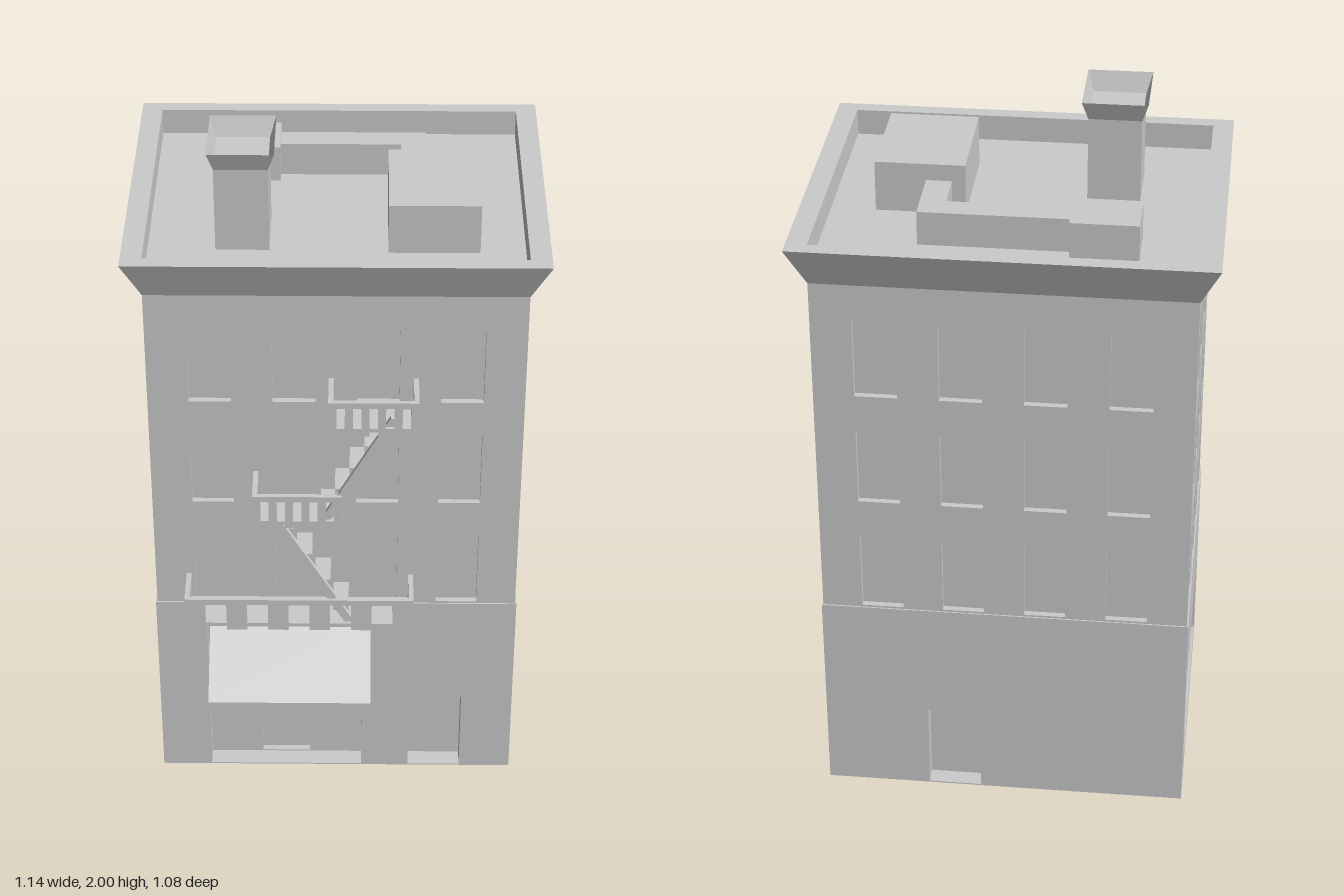
import * as THREE from 'three';

const MAT = new THREE.MeshStandardMaterial({ color: 0xcccccc, side: THREE.DoubleSide, flatShading: true });
const CZ = -0.08; // centre of the building in z

function mesh(geo, name, parent) {
  const m = new THREE.Mesh(geo, MAT);
  m.name = name;
  parent.add(m);
  return m;
}

// box given by its limits
function box(name, parent, x0, x1, y0, y1, z0, z1) {
  const m = mesh(new THREE.BoxGeometry(x1 - x0, y1 - y0, z1 - z0), name, parent);
  m.position.set((x0 + x1) / 2, (y0 + y1) / 2, (z0 + z1) / 2);
  return m;
}

// surface through rectangles [halfWidth, halfDepth, y], closed by a cap on the last one
function loft(rects) {
  const pos = [];
  const ring = ([w, d, y]) => [[-w, y, d], [w, y, d], [w, y, -d], [-w, y, -d]];
  const quad = (a, b, c, d) => pos.push(...a, ...b, ...c, ...a, ...c, ...d);
  for (let i = 0; i < rects.length - 1; i++) {
    const lo = ring(rects[i]), hi = ring(rects[i + 1]);
    for (let k = 0; k < 4; k++) quad(lo[k], lo[(k + 1) % 4], hi[(k + 1) % 4], hi[k]);
  }
  quad(...ring(rects[rects.length - 1]));
  const geo = new THREE.BufferGeometry();
  geo.setAttribute('position', new THREE.Float32BufferAttribute(pos, 3));
  geo.computeVertexNormals();
  return geo;
}

function rectPath(path, x0, x1, y0, y1) {
  path.moveTo(x0, y0);
  path.lineTo(x1, y0);
  path.lineTo(x1, y1);
  path.lineTo(x0, y1);
  path.closePath();
  return path;
}

// flat panel with recessed openings { x0, x1, y0, y1, depth, inner }, facing local +z
function panel(name, parent, x0, x1, y0, y1, openings, z = 0) {
  const shape = rectPath(new THREE.Shape(), x0, x1, y0, y1);
  for (const o of openings) shape.holes.push(rectPath(new THREE.Path(), o.x0, o.x1, o.y0, o.y1));
  mesh(new THREE.ShapeGeometry(shape), name, parent).position.z = z;
  for (const o of openings) {
    const w = o.x1 - o.x0, h = o.y1 - o.y0, cx = (o.x0 + o.x1) / 2, cy = (o.y0 + o.y1) / 2;
    for (const s of [-1, 1]) {
      const side = mesh(new THREE.PlaneGeometry(o.depth, h), 'reveal', parent);
      side.rotation.y = -s * Math.PI / 2;
      side.position.set(cx + s * w / 2, cy, z - o.depth / 2);
      const edge = mesh(new THREE.PlaneGeometry(w, o.depth), 'reveal', parent);
      edge.rotation.x = s * Math.PI / 2;
      edge.position.set(cx, cy + s * h / 2, z - o.depth / 2);
    }
    panel(o.name, parent, o.x0, o.x1, o.y0, o.y1, o.inner || [], z - o.depth);
  }
}

const opening = (name, x0, x1, y0, y1, depth, inner) => ({ name, x0, x1, y0, y1, depth, inner });

// one side of the building: ground floor and upper floors with three rows of windows
function side(name, parent, angle, half, dist, cols, winWidth, ground) {
  const g = new THREE.Group();
  g.name = name;
  g.rotation.y = angle;
  g.position.set(Math.sin(angle) * dist, 0, CZ + Math.cos(angle) * dist);
  parent.add(g);
  panel('groundWall', g, -half, half, 0, 0.622, ground);
  const windows = [];
  for (const y of [0.628, 0.98, 1.32])
    for (const c of cols) windows.push(opening('window', c - winWidth / 2, c + winWidth / 2, y, y + 0.232, 0.018));
  panel('upperWall', g, -half + 0.004, half - 0.004, 0.622, 1.66, windows, -0.004);
  const ledge = mesh(new THREE.PlaneGeometry(half * 2, 0.004), 'ledge', g);
  ledge.rotation.x = -Math.PI / 2;
  ledge.position.set(0, 0.622, -0.002);
}

// fire escape landing with railings on three sides
function balcony(name, parent, x0, x1, y0) {
  const g = new THREE.Group();
  g.name = name;
  parent.add(g);
  const y1 = y0 + 0.107, zb = 0.336, zf = 0.458, t = 0.014, w = x1 - x0, pw = w * 0.09;
  box('deck', g, x0, x1, y0 + 0.012, y0 + 0.024, zb, zf);
  box('frontRail', g, x0, x1, y1 - 0.018, y1, zf - t, zf);
  for (let i = 0; i < 6; i++) {
    const x = x0 + (w - pw) * i / 5;
    box('frontPost', g, x, x + pw, y0, y1 - 0.018, zf - t, zf);
  }
  for (const x of [x0, x1 - t]) {
    box('sideRail', g, x, x + t, y1 - 0.018, y1, zb, zf - t);
    for (const z of [0.348, 0.395]) box('sidePost', g, x, x + t, y0, y1 - 0.018, z, z + 0.02);
  }
}

// flight of treads hung on one outer stringer
function stair(name, parent, xa, ya, xb, yb, treads) {
  const g = new THREE.Group();
  g.name = name;
  parent.add(g);
  const s = mesh(new THREE.BoxGeometry(Math.hypot(xb - xa, yb - ya), 0.024, 0.014), 'stringer', g);
  s.position.set((xa + xb) / 2, (ya + yb) / 2, 0.442);
  s.rotation.z = Math.atan2(yb - ya, xb - xa);
  for (let i = 0; i < treads; i++) {
    const t = (i + 0.5) / treads, x = xa + (xb - xa) * t, y = ya + (yb - ya) * t;
    box('tread', g, x - 0.022, x + 0.022, y - 0.011, y + 0.011, 0.336, 0.436);
  }
}

export function createModel() {
  const model = new THREE.Group();
  model.name = 'apartmentBuilding';

  // walls with windows, doors and shop front
  const wide = [-0.345, -0.115, 0.115, 0.345], narrow = [-0.276, -0.092, 0.092, 0.276];
  const F = 0.004;
  const shopDoor = opening('shopDoor', -0.222, -0.08, F * 2, 0.27, 0.02);
  side('frontSide', model, 0, 0.52, 0.42, wide, 0.117, [
    opening('shopFront', -0.375, 0.075, F, 0.54, 0.055, [shopDoor]),
    opening('frontDoor', 0.215, 0.37, F, 0.27, 0.055),
  ]);
  side('backSide', model, Math.PI, 0.52, 0.42, wide, 0.117, [opening('backDoor', -0.222, -0.07, F, 0.27, 0.05)]);
  side('leftSide', model, Math.PI / 2, 0.42, 0.52, narrow, 0.097, [
    opening('lowWindow', -0.328, -0.045, 0.42, 0.49, 0.018),
    opening('lowWindow', 0.045, 0.328, 0.42, 0.49, 0.018),
  ]);
  side('rightSide', model, -Math.PI / 2, 0.42, 0.52, narrow, 0.097, [
    opening('sidePanel', -0.325, 0.335, 0.07, 0.34, 0.018),
  ]);

  // cornice, parapet and roof in one sweep
  const roofY = 1.7;
  mesh(loft([[0.516, 0.416, 1.66], [0.57, 0.46, 1.775], [0.512, 0.417, 1.775], [0.512, 0.417, roofY]]),
    'corniceAndRoof', model).position.z = CZ;

  // chimney with a flared, hollow top
  box('chimneyShaft', model, -0.328, -0.182, roofY, 1.945, -0.018, 0.165);
  mesh(loft([[0.09, 0.111, 2], [0.073, 0.0915, 1.945]]), 'chimneyTop', model).position.set(-0.255, 0, 0.0735);

  // roof units and the duct joining them
  box('largeRoofUnit', model, 0.14, 0.388, roofY, 1.845, -0.135, 0.177);
  box('smallRoofUnit', model, -0.348, -0.162, roofY, 1.806, -0.364, -0.217);
  box('ductAcross', model, -0.162, 0.248, roofY, 1.797, -0.325, -0.254);
  box('ductForward', model, 0.177, 0.248, roofY, 1.797, -0.254, -0.135);

  // thin awning: slope and hanging front edge
  const awning = new THREE.Group();
  awning.name = 'awning';
  model.add(awning);
  const sheet = (name, yA, zA, yB, zB) => {
    const m = mesh(new THREE.PlaneGeometry(0.465, Math.hypot(yB - yA, zB - zA)), name, awning);
    m.position.set(-0.132, (yA + yB) / 2, (zA + zB) / 2);
    m.rotation.x = -Math.atan2(zB - zA, yA - yB);
  };
  sheet('awningSlope', 0.57, 0.34, 0.415, 0.54);
  sheet('awningValance', 0.415, 0.54, 0.37, 0.54);

  // fire escape
  const escape = new THREE.Group();
  escape.name = 'fireEscape';
  model.add(escape);
  balcony('lowerBalcony', escape, -0.428, 0.22, 0.618);
  balcony('middleBalcony', escape, -0.23, 0.018, 0.98);
  balcony('upperBalcony', escape, -0.02, 0.225, 1.292);
  stair('lowerStair', escape, 0.04, 0.64, -0.165, 0.995, 4);
  stair('upperStair', escape, -0.04, 0.98, 0.16, 1.34, 5);

  return model;
}
